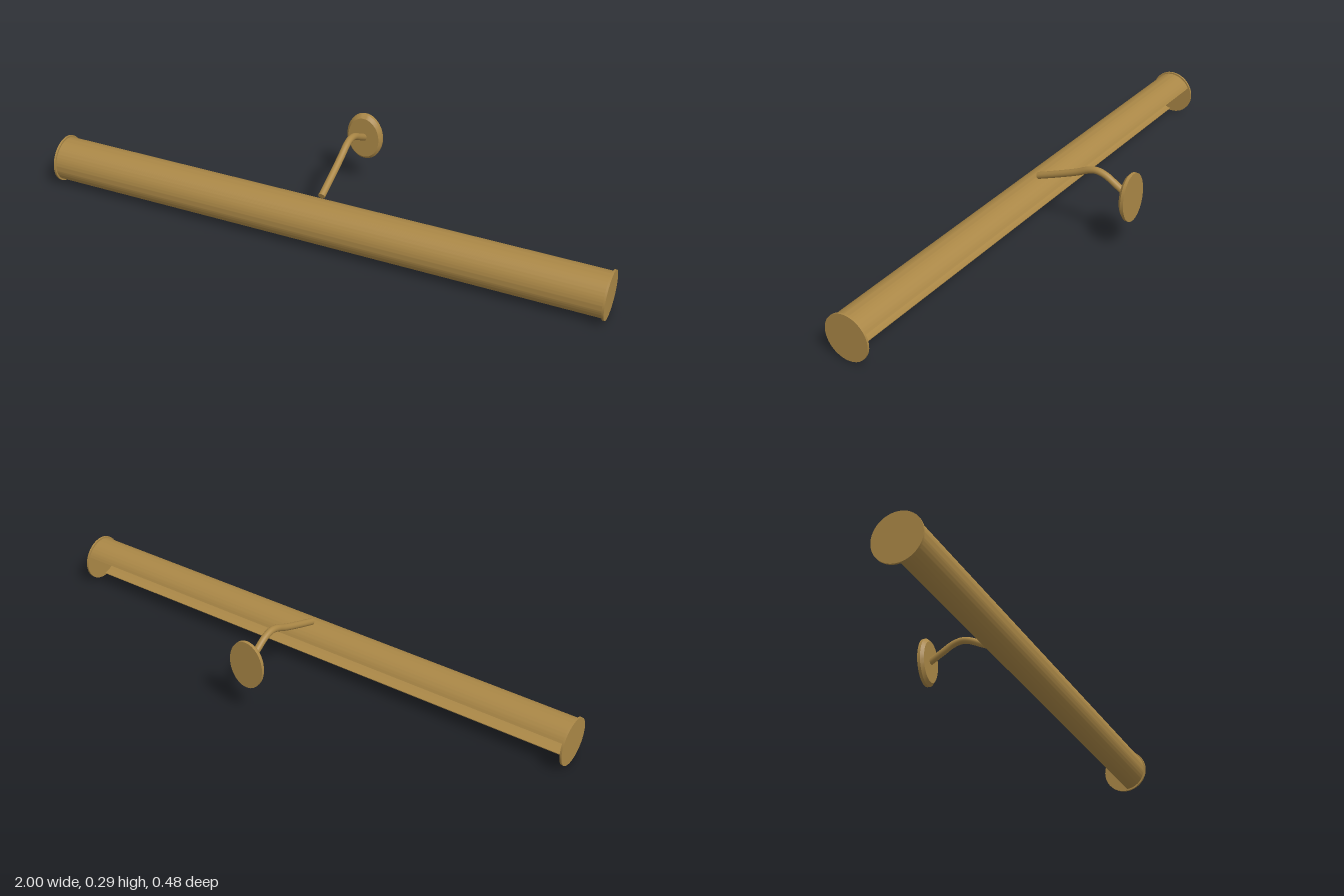
import * as THREE from 'three';
import { toCreasedNormals } from 'three/addons/utils/BufferGeometryUtils.js';

const SHADE_Y = 0.085, SHADE_Z = 0.158;

export function createModel() {
  const model = new THREE.Group();
  model.name = 'pictureLight';
  const brass = new THREE.MeshStandardMaterial({ color: 0xaa8746 });
  brass.name = 'agedBrass';

  const add = (name, geometry) => {
    const mesh = new THREE.Mesh(geometry, brass);
    mesh.name = name;
    model.add(mesh);
    return mesh;
  };

  // Trough-shaped shade: thin tube wall, open to the lower back
  const from = THREE.MathUtils.degToRad(-85), to = THREE.MathUtils.degToRad(155);
  const section = new THREE.Shape();
  section.absarc(0, 0, 0.077, from, to, false);
  section.absarc(0, 0, 0.0745, to, from, true);
  const shadeGeo = new THREE.ExtrudeGeometry(section, { depth: 1.99, bevelEnabled: false, curveSegments: 40 });
  shadeGeo.translate(0, 0, -0.995).rotateY(-Math.PI / 2);
  add('shade', toCreasedNormals(shadeGeo, 0.6)).position.set(0, SHADE_Y, SHADE_Z);

  // Round end caps, slightly wider than the shade
  for (const side of [1, -1]) {
    const cap = new THREE.CylinderGeometry(0.083, 0.083, 0.007, 48).rotateZ(Math.PI / 2);
    add(side > 0 ? 'leftEndCap' : 'rightEndCap', cap).position.set(side * 0.9965, SHADE_Y, SHADE_Z);
  }

  // Swan-neck arm from the shade to the wall plate
  const path = new THREE.CatmullRomCurve3([
    [0.174, 0.138], [0.205, 0.055], [0.235, -0.02], [0.258, -0.07],
    [0.264, -0.1], [0.256, -0.135], [0.233, -0.175], [0.204, -0.224],
  ].map(([y, z]) => new THREE.Vector3(0, y, z)));
  add('arm', new THREE.TubeGeometry(path, 48, 0.0122, 20));

  // Flat closed tip of the arm above the shade
  const tip = add('armTip', new THREE.CircleGeometry(0.0122, 20));
  tip.position.copy(path.getPoint(0));
  tip.lookAt(path.getPoint(0).sub(path.getTangent(0)));

  // Oval wall plate with a bevelled front rim
  const profile = [[0, 0], [0.089, 0], [0.089, 0.011], [0.077, 0.022], [0, 0.022]]
    .map(([r, h]) => new THREE.Vector2(r, h));
  const plateGeo = new THREE.LatheGeometry(profile, 48).rotateX(Math.PI / 2).scale(0.74, 1, 1);
  add('wallPlate', toCreasedNormals(plateGeo, 0.5)).position.set(0, 0.204, -0.241);

  return model;
}
